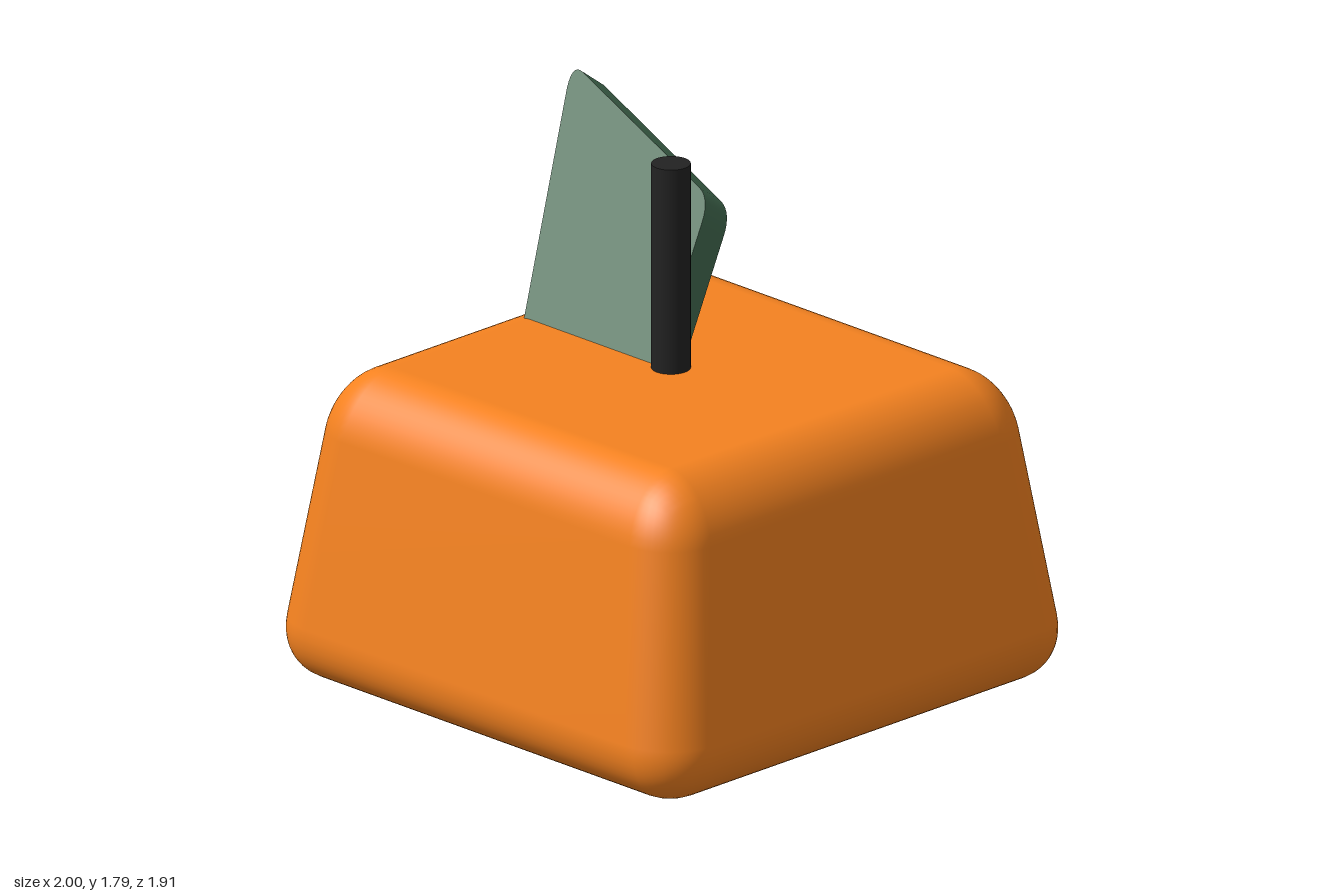
import * as THREE from 'three';
import { mergeVertices, toCreasedNormals } from 'three/addons/utils/BufferGeometryUtils.js';
import { RoundedBoxGeometry } from 'three/addons/geometries/RoundedBoxGeometry.js';

// Move every vertex of a geometry by a rule
function warp(geometry, rule) {
  const pos = geometry.attributes.position;
  const v = new THREE.Vector3();
  for (let i = 0; i < pos.count; i++) {
    rule(v.fromBufferAttribute(pos, i));
    pos.setXYZ(i, v.x, v.y, v.z);
  }
  return geometry;
}

function part(name, geometry, color) {
  const mesh = new THREE.Mesh(geometry, new THREE.MeshStandardMaterial({ color }));
  mesh.name = name;
  return mesh;
}

// Rounded block that narrows evenly towards the top
function bodyGeometry() {
  const height = 1.08;
  let geometry = new RoundedBoxGeometry(1.965, height, 1.965, 6, 0.215);
  geometry.deleteAttribute('normal');
  geometry.deleteAttribute('uv');
  geometry = mergeVertices(geometry, 1e-4);
  warp(geometry, (v) => {
    v.y += height / 2;
    const taper = 1 - 0.16 * (v.y / height);
    v.x *= taper;
    v.z *= taper;
  });
  geometry.computeVertexNormals();
  return geometry;
}

// Thick slanted plate with rounded upper corners, leaning back 45 degrees
function leafGeometry() {
  const shape = new THREE.Shape();
  shape.moveTo(-0.57, 1.0);
  shape.lineTo(0.03, 1.0);
  shape.lineTo(-0.16, 1.44);
  shape.quadraticCurveTo(-0.185, 1.5, -0.25, 1.518);
  shape.lineTo(-0.965, 1.685);
  shape.quadraticCurveTo(-1.02, 1.695, -0.985, 1.635);
  shape.closePath();
  const geometry = new THREE.ExtrudeGeometry(shape, { depth: 1, bevelEnabled: false, curveSegments: 8 });
  warp(geometry, (v) => {
    const back = 1 - v.z;
    v.z = 1.1 - v.y - 0.1 * back;
    v.y -= 0.075 * back;
  });
  return toCreasedNormals(geometry, 0.6);
}

export function createModel() {
  const model = new THREE.Group();
  model.name = 'squareFruit';

  const body = part('body', bodyGeometry(), 0xf58220);
  body.position.x = 0.045;

  // Stem sunk into the body
  const stem = part('stem', new THREE.CylinderGeometry(0.065, 0.065, 0.89, 32), 0x222222);
  stem.position.set(0.04, 1.35, 0);

  const leaf = part('leaf', leafGeometry(), 0x41694f);

  model.add(body, stem, leaf);
  return model;
}
